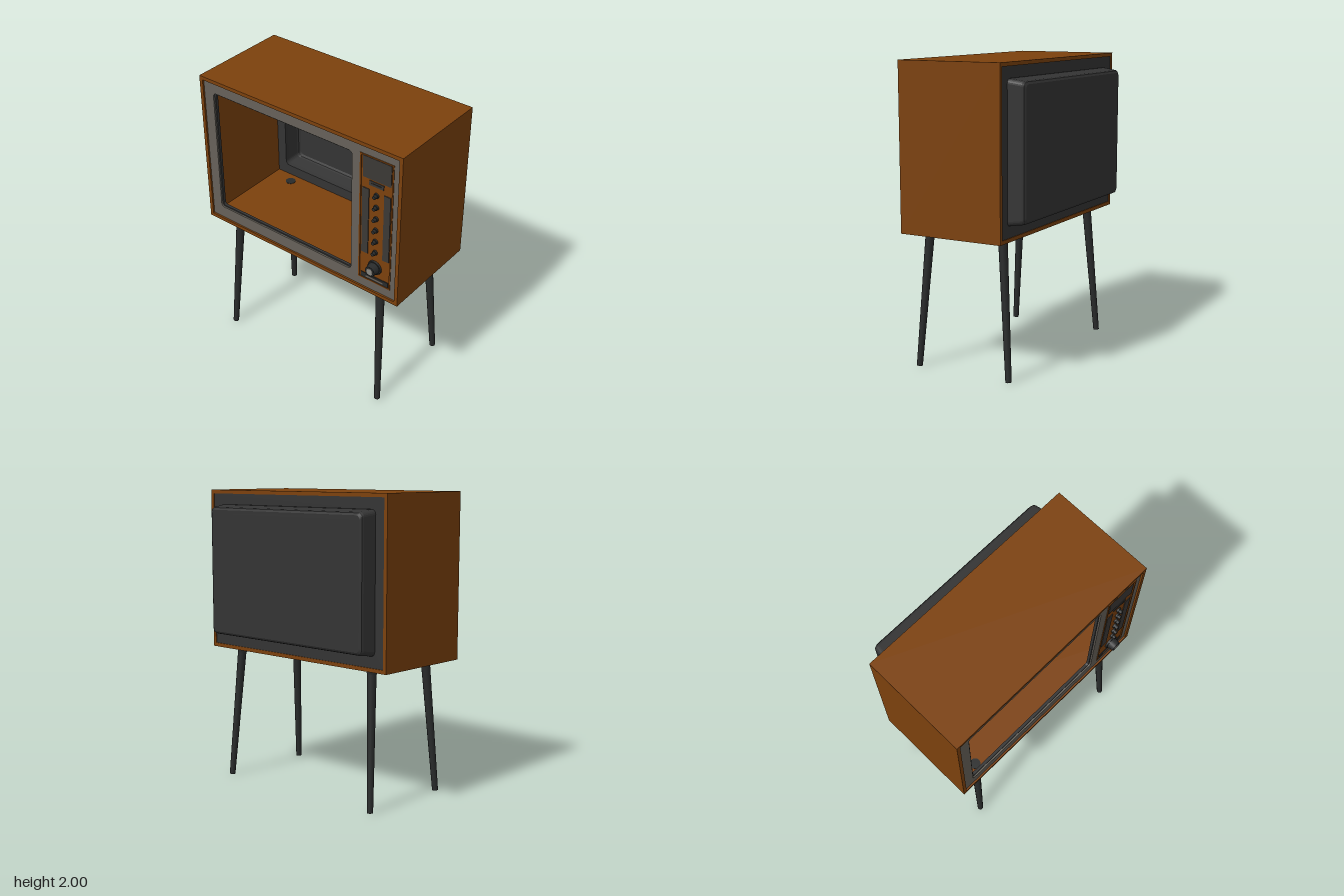
import * as THREE from 'three';

const mat = (name, color, side = THREE.FrontSide) => {
  const m = new THREE.MeshStandardMaterial({ color, side });
  m.name = name;
  return m;
};

// Rounded rectangle outline, given by its edges
function roundRect(x0, x1, y0, y1, r, Type = THREE.Shape) {
  const s = new Type();
  if (r === 0) {
    s.moveTo(x0, y0).lineTo(x1, y0).lineTo(x1, y1).lineTo(x0, y1).closePath();
    return s;
  }
  s.absarc(x1 - r, y0 + r, r, -Math.PI / 2, 0);
  s.absarc(x1 - r, y1 - r, r, 0, Math.PI / 2);
  s.absarc(x0 + r, y1 - r, r, Math.PI / 2, Math.PI);
  s.absarc(x0 + r, y0 + r, r, Math.PI, Math.PI * 1.5);
  s.closePath();
  return s;
}

// Plate with holes, spanning z0 to z1
function plate(outline, holes, z0, z1) {
  outline.holes.push(...holes);
  const g = new THREE.ExtrudeGeometry(outline, { depth: z1 - z0, bevelEnabled: false, curveSegments: 6 });
  return g.translate(0, 0, z0);
}

// Hollow rear cover lofted through rounded rectangles [halfWidth, halfHeight, radius, z]
function loftCover(sections, cy) {
  const pos = [], idx = [], perCorner = 6, n = perCorner * 4;
  for (const [w, h, r, z] of sections) {
    for (let i = 0; i < n; i++) {
      const c = Math.floor(i / perCorner);
      const a = (c + (i % perCorner) / (perCorner - 1)) * Math.PI / 2;
      const sx = c === 0 || c === 3 ? 1 : -1, sy = c < 2 ? 1 : -1;
      pos.push(sx * (w - r) + Math.cos(a) * r, cy + sy * (h - r) + Math.sin(a) * r, z);
    }
  }
  for (let s = 0; s < sections.length - 1; s++) {
    for (let i = 0; i < n; i++) {
      const a = s * n + i, b = s * n + (i + 1) % n;
      idx.push(a, a + n, b, b, a + n, b + n);
    }
  }
  const last = (sections.length - 1) * n;
  for (let i = 1; i < n - 1; i++) idx.push(last, last + i + 1, last + i);
  const g = new THREE.BufferGeometry();
  g.setAttribute('position', new THREE.Float32BufferAttribute(pos, 3));
  g.setIndex(idx);
  const flat = g.toNonIndexed();
  flat.computeVertexNormals();
  return flat;
}

export function createModel() {
  const root = new THREE.Group();
  root.name = 'televisionSet';
  const wood = mat('wood', 0x7c410d);
  const grey = mat('bezelGrey', 0x666159);
  const dark = mat('darkPlastic', 0x343434, THREE.DoubleSide);
  const trim = mat('panelTrim', 0x3b3835);
  const black = mat('blackMetal', 0x292b2b);
  const silver = mat('silver', 0x8a8780);

  const add = (name, geo, material, parent = root) => {
    const m = new THREE.Mesh(geo, material);
    m.name = name;
    parent.add(m);
    return m;
  };
  const box = (name, x0, x1, y0, y1, z0, z1, material, parent) =>
    add(name, new THREE.BoxGeometry(x1 - x0, y1 - y0, z1 - z0), material, parent)
      .position.set((x0 + x1) / 2, (y0 + y1) / 2, (z0 + z1) / 2);

  // Open wooden cabinet
  add('cabinet', plate(roundRect(-0.79, 0.79, 0.91, 2, 0),
    [roundRect(-0.765, 0.765, 0.935, 1.975, 0, THREE.Path)], -0.33, 0.395), wood);

  // Front bezel with openings for the screen and the controls
  const screenHole = (r = 0.025, o = 0) => roundRect(-0.69 - o, 0.42 + o, 1.02 - o, 1.9 + o, r, THREE.Path);
  add('bezel', plate(roundRect(-0.765, 0.765, 0.935, 1.975, 0),
    [screenHole(), roundRect(0.48, 0.725, 1.0, 1.92, 0, THREE.Path)], 0.36, 0.383), grey);
  add('screenLip', plate(roundRect(-0.692, 0.422, 1.018, 1.902, 0.027),
    [roundRect(-0.68, 0.412, 1.03, 1.89, 0.02, THREE.Path)], 0.352, 0.372), dark);

  // Control panel
  const controls = new THREE.Group();
  controls.name = 'controlPanel';
  root.add(controls);
  box('panelBoard', 0.48, 0.725, 1.0, 1.92, 0.36, 0.38, wood, controls);
  add('panelRim', plate(roundRect(0.48, 0.725, 1.0, 1.92, 0),
    [roundRect(0.49, 0.715, 1.008, 1.912, 0, THREE.Path)], 0.375, 0.387), wood, controls);
  box('channelWindow', 0.502, 0.707, 1.76, 1.908, 0.379, 0.384, trim, controls);
  box('namePlate', 0.55, 0.655, 1.718, 1.75, 0.379, 0.385, trim, controls);
  box('namePlateInlay', 0.565, 0.64, 1.73, 1.738, 0.384, 0.387, black, controls);
  for (const [x0, x1] of [[0.5, 0.549], [0.66, 0.707]]) {
    box('grilleStrip', x0, x1, 1.205, 1.685, 0.379, 0.385, trim, controls);
  }
  box('lowerPlate', 0.502, 0.707, 1.01, 1.045, 0.379, 0.385, black, controls);
  box('lowerPlateInlay', 0.54, 0.67, 1.02, 1.034, 0.384, 0.387, grey, controls);

  // Knobs are cylinders turned towards the front
  const knob = (name, y, rFront, rBack, z0, z1, material, sides = 16) =>
    add(name, new THREE.CylinderGeometry(rFront, rBack, z1 - z0, sides).rotateX(Math.PI / 2), material, controls)
      .position.set(0.604, y, (z0 + z1) / 2);
  for (let i = 0; i < 6; i++) {
    const y = 1.66 - i * 0.0845;
    knob('buttonBase', y, 0.017, 0.018, 0.378, 0.392, black);
    knob('button', y, 0.012, 0.013, 0.39, 0.412, black);
  }
  knob('dialBase', 1.12, 0.048, 0.052, 0.378, 0.392, black, 24);
  knob('dial', 1.12, 0.035, 0.042, 0.39, 0.436, black, 12);
  knob('dialCap', 1.12, 0.023, 0.023, 0.434, 0.438, silver, 20);

  // Rear panel and its hollow bulge
  add('rearFrame', plate(roundRect(-0.765, 0.765, 0.935, 1.975, 0),
    [roundRect(-0.695, 0.695, 1.008, 1.902, 0.03, THREE.Path)], -0.325, -0.305), dark);
  add('rearCover', loftCover([
    [0.695, 0.447, 0.03, -0.305],
    [0.693, 0.445, 0.03, -0.335],
    [0.682, 0.433, 0.03, -0.415],
    [0.677, 0.428, 0.03, -0.428],
    [0.663, 0.414, 0.025, -0.437],
  ], 1.455), dark);

  // Splayed tapered legs with mounting collars
  const up = new THREE.Vector3(0, 1, 0);
  for (const sx of [1, -1]) {
    for (const [zTop, zFoot, label] of [[0.302, 0.37, 'front'], [-0.235, -0.302, 'back']]) {
      const top = new THREE.Vector3(sx * 0.596, 0.915, zTop);
      const foot = new THREE.Vector3(sx * 0.645, 0.002, zFoot);
      const axis = top.clone().sub(foot);
      const leg = add(label + 'Leg', new THREE.CylinderGeometry(0.03, 0.02, axis.length(), 14), black);
      leg.position.copy(top).add(foot).multiplyScalar(0.5);
      leg.quaternion.setFromUnitVectors(up, axis.normalize());
      add(label + 'LegCollar', new THREE.CylinderGeometry(0.036, 0.032, 0.035, 16), black)
        .position.set(sx * 0.597, 0.894, zTop);
      add(label + 'LegMount', new THREE.CylinderGeometry(0.036, 0.036, 0.004, 16), black)
        .position.set(sx * 0.597, 0.936, zTop);
    }
  }
  return root;
}
